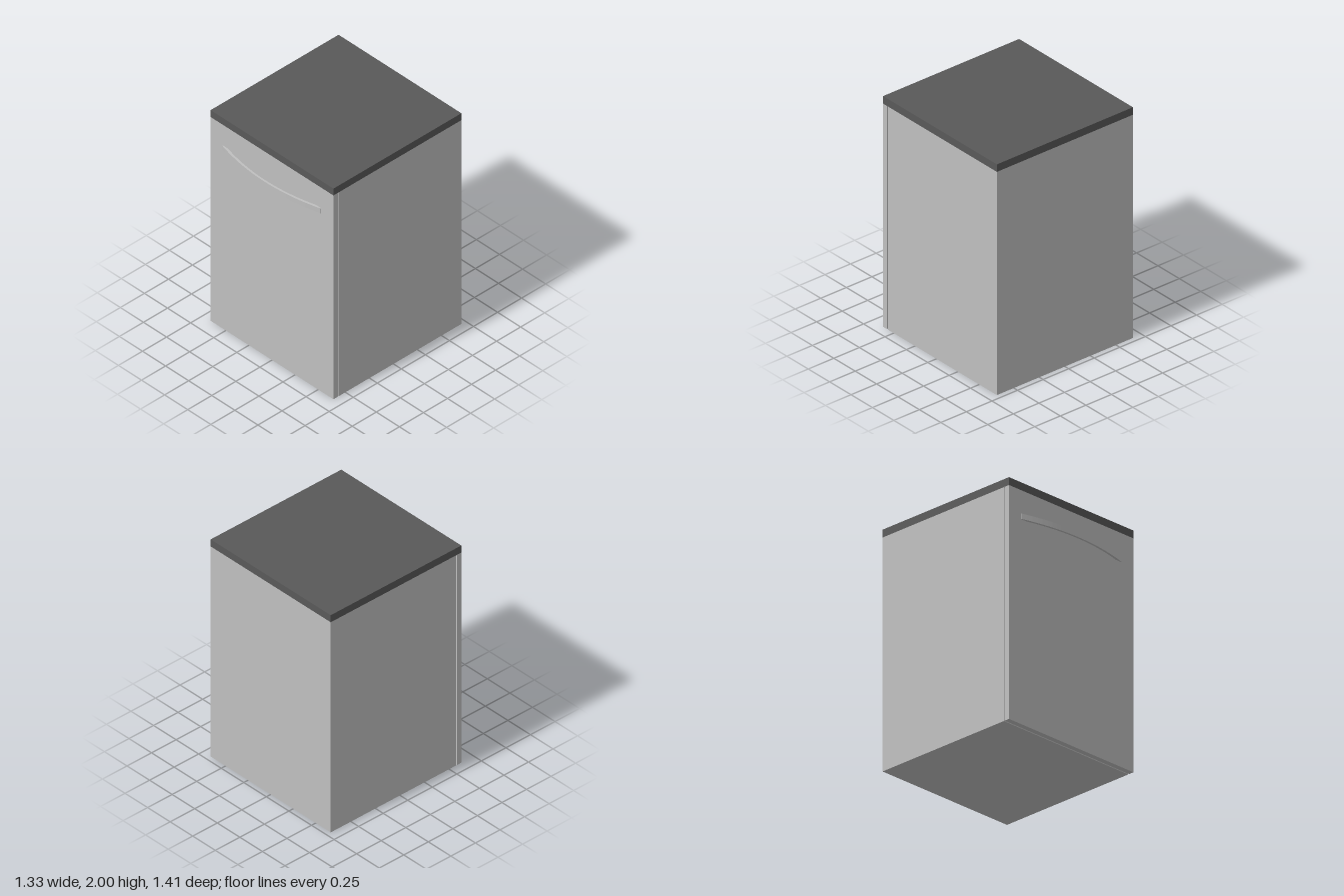
import * as THREE from 'three';

export function createModel() {
  const model = new THREE.Group();
  model.name = 'dishwasher';

  const silver = new THREE.MeshStandardMaterial({ color: 0xc0c0c0 });
  silver.name = 'silver grey';
  const charcoal = new THREE.MeshStandardMaterial({ color: 0x595959 });
  charcoal.name = 'charcoal';

  const W = 1.33, BACK = -0.706, FRONT = 0.624, LID_Y = 1.935;

  // Box given by its vertical and depth ranges, full width
  function slab(name, y0, y1, z0, z1, material) {
    const mesh = new THREE.Mesh(new THREE.BoxGeometry(W, y1 - y0, z1 - z0), material);
    mesh.name = name;
    mesh.position.set(0, (y0 + y1) / 2, (z0 + z1) / 2);
    model.add(mesh);
  }

  slab('worktop', LID_Y, 2, BACK, FRONT, charcoal);
  slab('cabinet', 0, LID_Y, BACK, 0.569, silver);

  // Door stands a narrow gap in front of the cabinet
  slab('door', 0, 1.7, 0.579, FRONT, silver);
  slab('controlPanel', 1.7, LID_Y, 0.579, FRONT, silver);

  // Bowed handle: plan outline between an outer and an inner arc
  const N = 24;
  const arc = (halfWidth, zEnd, zMid) => Array.from({ length: N + 1 }, (_, i) => {
    const t = (i / N) * 2 - 1;
    return new THREE.Vector2(t * halfWidth, zMid - (zMid - zEnd) * t * t);
  });
  const outline = [
    new THREE.Vector2(-0.533, FRONT - 0.002),
    ...arc(0.533, 0.63, 0.706),
    new THREE.Vector2(0.533, FRONT - 0.002),
    ...arc(0.485, FRONT - 0.002, 0.689).reverse(),
  ];
  const handleGeometry = new THREE.ExtrudeGeometry(new THREE.Shape(outline), {
    depth: 0.045, bevelEnabled: false,
  });
  handleGeometry.rotateX(Math.PI / 2);
  const handle = new THREE.Mesh(handleGeometry, silver);
  handle.name = 'handle';
  handle.position.y = 1.74;
  model.add(handle);

  return model;
}
